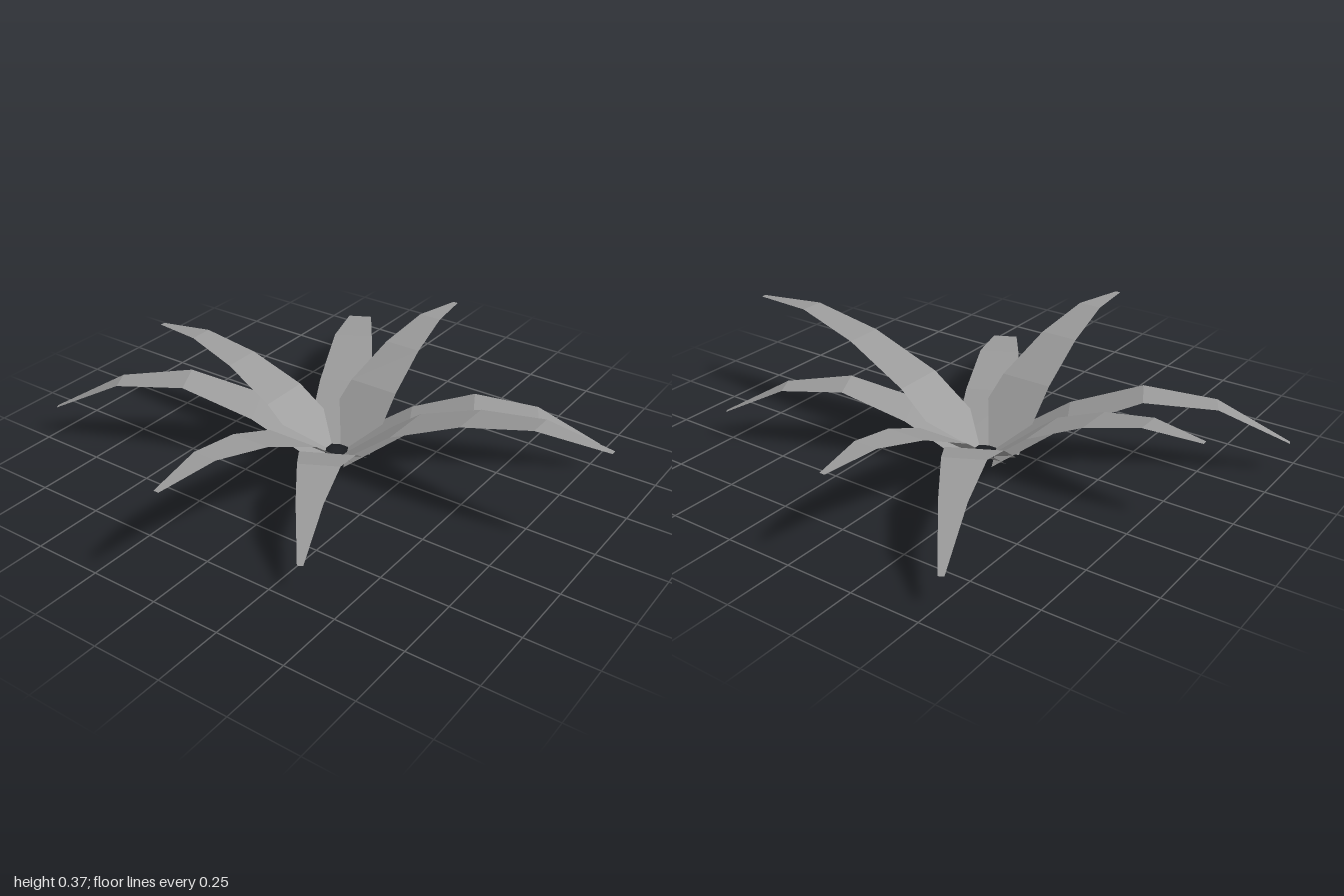
import * as THREE from 'three';

// Cross-sections from base to tip: half-widths, and heights per unit of leaf length
const HALF_WIDTHS = [0.12, 0.1, 0.073, 0.045, 0.01];
const UPRIGHT = [0, 0.19, 0.297, 0.353, 0.34];
const DROOPING = [0, 0.155, 0.244, 0.221, 0.1];
const BASE_RADIUS = 0.04;

// Thin folded strip running along +z with its upper side facing up
function leafGeometry(length, heights) {
  const rows = HALF_WIDTHS.length;
  const strip = new THREE.PlaneGeometry(1, 1, 1, rows - 1);
  const pos = strip.attributes.position;
  for (let i = 0; i < rows; i++) {
    const reach = THREE.MathUtils.lerp(BASE_RADIUS, length, i / (rows - 1));
    pos.setXYZ(i * 2, -HALF_WIDTHS[i], heights[i] * length, reach);
    pos.setXYZ(i * 2 + 1, HALF_WIDTHS[i], heights[i] * length, reach);
  }
  const geometry = strip.toNonIndexed();
  geometry.computeVertexNormals();
  return geometry;
}

export function createModel() {
  const model = new THREE.Group();
  model.name = 'leafyPlant';
  const leafGrey = new THREE.MeshStandardMaterial({
    color: 0x999999, flatShading: true, side: THREE.DoubleSide,
  });
  leafGrey.name = 'leaf grey';

  // A ring of four leaves, a quarter turn apart
  function addRing(name, lengths, heights, turn) {
    const ring = new THREE.Group();
    ring.name = name + 'Leaves';
    lengths.forEach((length, i) => {
      const leaf = new THREE.Mesh(leafGeometry(length, heights), leafGrey);
      leaf.name = name + 'Leaf' + (i + 1);
      leaf.rotation.y = turn + (i * Math.PI) / 2;
      ring.add(leaf);
    });
    ring.position.set(0.05, 0, -0.06);
    model.add(ring);
  }

  // Order: front, left, back, right
  addRing('upright', [1.06, 0.84, 0.84, 0.94], UPRIGHT, 0);
  addRing('drooping', [0.95, 0.95, 1.06, 0.83], DROOPING, THREE.MathUtils.degToRad(27.6));

  return model;
}
